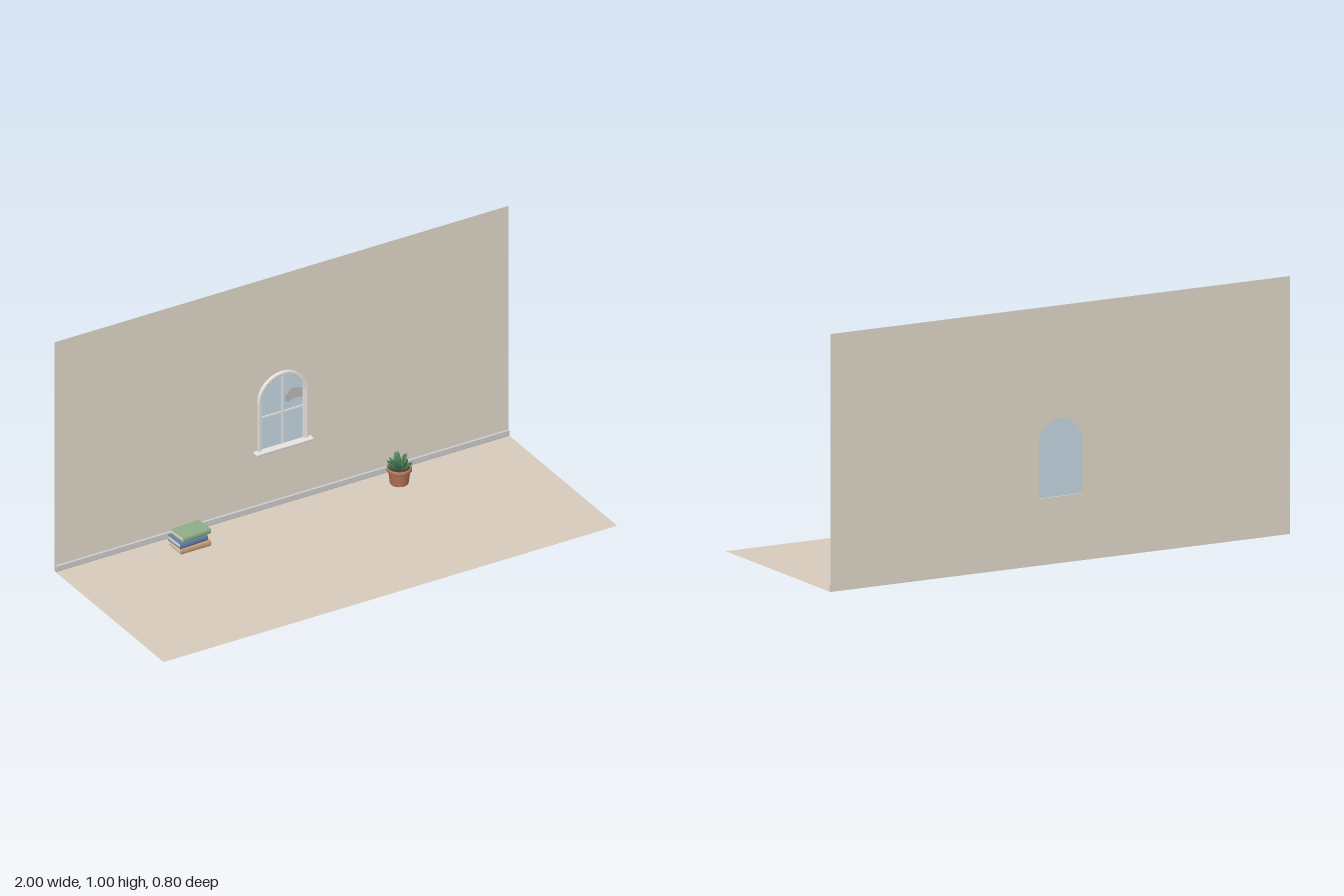
import * as THREE from 'three';
import { RoundedBoxGeometry } from 'three/addons/geometries/RoundedBoxGeometry.js';

const mat = (color, side = THREE.FrontSide) => new THREE.MeshStandardMaterial({ color, side });
const WALL_Z = -0.4, SILL_Y = 0.258, ARCH_Y = 0.469;

function add(parent, name, geometry, material, x = 0, y = 0, z = 0) {
  const mesh = new THREE.Mesh(geometry, material);
  mesh.name = name;
  mesh.position.set(x, y, z);
  parent.add(mesh);
  return mesh;
}

// Round-topped window outline of half-width r
function arch(r, PathType = THREE.Shape) {
  const p = new PathType();
  p.moveTo(-r, SILL_Y);
  p.lineTo(r, SILL_Y);
  p.lineTo(r, ARCH_Y);
  p.absarc(0, ARCH_Y, r, 0, Math.PI, false);
  p.lineTo(-r, SILL_Y);
  return p;
}

function createRoom() {
  const room = new THREE.Group();
  room.name = 'room';
  const floor = add(room, 'floor', new THREE.PlaneGeometry(2, 0.8), mat(0xd6cabb, THREE.DoubleSide));
  floor.rotation.x = -Math.PI / 2;

  const wall = new THREE.Shape([[-1, 0], [1, 0], [1, 1], [-1, 1]].map(([x, y]) => new THREE.Vector2(x, y)));
  wall.holes.push(arch(0.092, THREE.Path));
  add(room, 'wall', new THREE.ShapeGeometry(wall, 24), mat(0xded6c8, THREE.DoubleSide), 0, 0, WALL_Z);
  add(room, 'baseboard', new RoundedBoxGeometry(2, 0.026, 0.01, 2, 0.003), mat(0xdcdad8), 0, 0.014, WALL_Z + 0.006);
  return room;
}

function createWindow() {
  const win = new THREE.Group();
  win.name = 'window';
  const white = mat(0xe6e3df);

  // Two stepped bands make the moulded frame
  const band = (name, outer, inner, depth) => {
    const shape = arch(outer);
    shape.holes.push(arch(inner, THREE.Path));
    const b = 0.002;
    add(win, name, new THREE.ExtrudeGeometry(shape, {
      depth: depth - 2 * b, bevelSize: b, bevelThickness: b, bevelSegments: 2, curveSegments: 24,
    }), white, 0, 0, WALL_Z + b + 0.0005);
  };
  band('outerFrame', 0.108, 0.1, 0.0145);
  band('innerFrame', 0.1, 0.094, 0.01);

  add(win, 'glass', new THREE.ShapeGeometry(arch(0.096), 24), mat(0xc3d6e2, THREE.DoubleSide), 0, 0, WALL_Z + 0.001);
  add(win, 'verticalBar', new THREE.BoxGeometry(0.007, ARCH_Y + 0.094 - SILL_Y, 0.005), white,
    0, (SILL_Y + ARCH_Y + 0.094) / 2, WALL_Z + 0.005);
  add(win, 'horizontalBar', new THREE.BoxGeometry(0.188, 0.007, 0.005), white, 0, 0.402, WALL_Z + 0.005);
  add(win, 'sill', new RoundedBoxGeometry(0.254, 0.013, 0.03, 3, 0.005), white, 0, 0.257, WALL_Z + 0.0155);

  // Flat cloud seen through the glass
  const cloud = new THREE.Group();
  cloud.name = 'cloud';
  const grey = mat(0xb9b9b9);
  [[0.03, 0.453, 0.017], [0.05, 0.466, 0.024], [0.072, 0.464, 0.022], [0.083, 0.453, 0.013]].forEach(([x, y, r], i) => {
    add(cloud, 'cloudPuff', new THREE.CircleGeometry(r, 20), grey, x, y, WALL_Z + 0.0016 + i * 0.0001);
  });
  win.add(cloud);
  return win;
}

// Hardback lying flat, rounded spine facing the front
function createBook(name, color, w, h, d) {
  const book = new THREE.Group();
  book.name = name;
  const cover = mat(color), t = 0.003;
  for (const y of [t / 2, h - t / 2]) add(book, 'cover', new RoundedBoxGeometry(w, t, d, 1, 0.001), cover, 0, y, 0);
  add(book, 'pages', new THREE.BoxGeometry(w - 0.008, h - 2 * t, d - 0.006), mat(0xe9dfc8), 0, h / 2, 0.001);
  const spine = add(book, 'spine', new THREE.CylinderGeometry(h / 2, h / 2, w, 16, 1, false, 0, Math.PI),
    cover, 0, h / 2, d / 2 - 0.002);
  spine.rotation.set(0, -Math.PI / 2, Math.PI / 2, 'YXZ');
  spine.rotation.set(0, 0, 0);
  // Half cylinder bulging toward +z, flattened to a shallow curve
  spine.geometry.rotateY(-Math.PI / 2).rotateZ(Math.PI / 2).scale(1, 1, 0.4);
  return book;
}

function createBooks() {
  const stack = new THREE.Group();
  stack.name = 'bookStack';
  [
    ['bottomBook', 0xc9a17a, 0.132, 0.024, 0.09, -0.462, 0.0015, 0],
    ['middleBook', 0x5f83a6, 0.124, 0.024, 0.086, -0.472, 0.026, 0.05],
    ['topBook', 0x8fae88, 0.126, 0.021, 0.082, -0.457, 0.0505, 0.07],
  ].forEach(([name, color, w, h, d, x, y, turn]) => {
    const book = createBook(name, color, w, h, d);
    book.position.set(x, y, -0.304);
    book.rotation.y = turn;
    stack.add(book);
  });
  return stack;
}

// Plump pointed leaf growing up from the origin
function leafGeometry(length, width) {
  const profile = [[0, 0], [0.55, 0.06], [0.85, 0.25], [1, 0.48], [0.8, 0.7], [0.4, 0.89], [0, 1]]
    .map(([r, y]) => new THREE.Vector2(r * width / 2, y * length));
  return new THREE.LatheGeometry(profile, 12).scale(1, 1, 0.45);
}

function createPlant() {
  const plant = new THREE.Group();
  plant.name = 'pottedPlant';
  const pot = [[0, 0.001], [0.033, 0.001], [0.036, 0.004], [0.042, 0.054], [0.046, 0.055], [0.049, 0.059],
    [0.049, 0.068], [0.047, 0.072], [0.043, 0.072], [0.041, 0.068], [0.04, 0.058]];
  add(plant, 'pot', new THREE.LatheGeometry(pot.map(p => new THREE.Vector2(...p)), 32), mat(0xb87658, THREE.DoubleSide));
  const soil = add(plant, 'soil', new THREE.CircleGeometry(0.0415, 28), mat(0x51402f), 0, 0.063, 0);
  soil.rotation.x = -Math.PI / 2;

  // Rings of leaves: count, tilt, length, width, base radius, turn, colour
  [
    [7, 1.0, 0.046, 0.023, 0.012, 0.2, 0x3c6848],
    [5, 0.5, 0.062, 0.026, 0.009, 0.5, 0x477a55],
    [3, 0.18, 0.07, 0.024, 0.006, 0.9, 0x528760],
  ].forEach(([count, tilt, length, width, radius, turn, color]) => {
    const geometry = leafGeometry(length, width), green = mat(color);
    for (let i = 0; i < count; i++) {
      const a = turn + i * Math.PI * 2 / count;
      const leaf = add(plant, 'leaf', geometry, green, Math.sin(a) * radius, 0.063, Math.cos(a) * radius);
      leaf.rotation.set(tilt, a, 0, 'YXZ');
    }
  });
  plant.position.set(0.459, 0, -0.3);
  return plant;
}

export function createModel() {
  const model = new THREE.Group();
  model.name = 'roomCorner';
  model.add(createRoom(), createWindow(), createBooks(), createPlant());
  return model;
}
